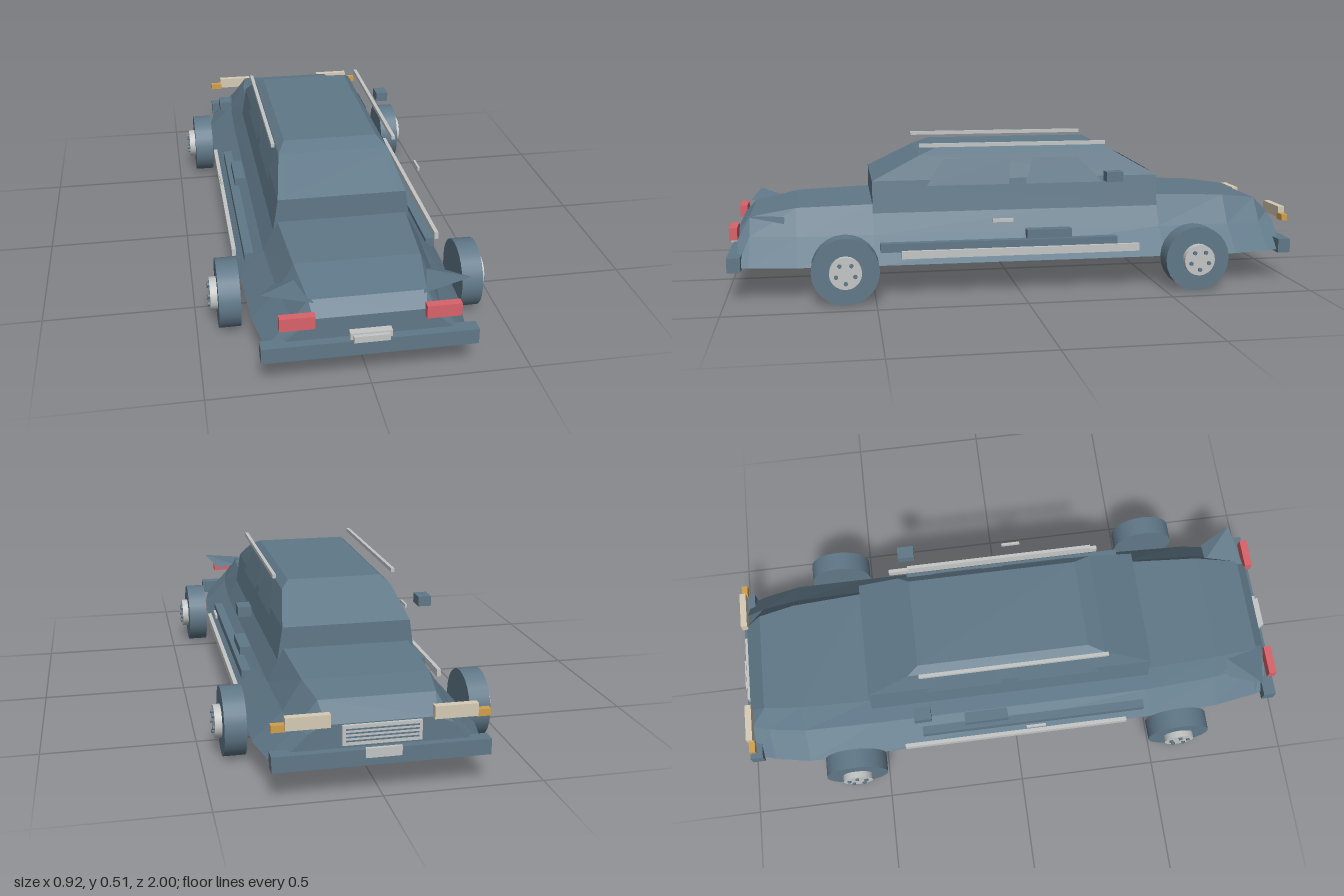
import * as THREE from 'three';

const material = (name, color) => {
  const m = new THREE.MeshStandardMaterial({ color });
  m.name = name;
  return m;
};

// Closed flat-shaded skin through rings of points, capped at both ends
function loft(rings) {
  const pos = [];
  const tri = (...pts) => pts.forEach((p) => pos.push(...p));
  const n = rings[0].length;
  for (let r = 0; r < rings.length - 1; r++) {
    const a = rings[r], b = rings[r + 1];
    for (let i = 0; i < n; i++) {
      const j = (i + 1) % n;
      tri(a[i], b[i], b[j]);
      tri(a[i], b[j], a[j]);
    }
  }
  const first = rings[0], last = rings[rings.length - 1];
  for (let i = 1; i < n - 1; i++) {
    tri(first[0], first[i], first[i + 1]);
    tri(last[0], last[i + 1], last[i]);
  }
  const g = new THREE.BufferGeometry();
  g.setAttribute('position', new THREE.Float32BufferAttribute(pos, 3));
  g.computeVertexNormals();
  return g;
}

export function createModel() {
  const car = new THREE.Group();
  car.name = 'car';
  const paint = material('slate paint', 0x607888);
  const panel = material('slate panel', 0x607888);
  panel.side = THREE.DoubleSide;
  const silver = material('silver trim', 0xc4c6c6);
  const red = material('red lamp', 0xd9626a);
  const amber = material('amber lamp', 0xd0a04c);
  const lens = material('pale lens', 0xd6cbb4);

  const add = (name, geometry, mat, parent = car) => {
    const m = new THREE.Mesh(geometry, mat);
    m.name = name;
    parent.add(m);
    return m;
  };
  // Box given by its limits on each axis
  const box = (name, mat, [x0, x1], [y0, y1], [z0, z1]) => {
    const m = add(name, new THREE.BoxGeometry(Math.abs(x1 - x0), y1 - y0, z1 - z0), mat);
    m.position.set((x0 + x1) / 2, (y0 + y1) / 2, (z0 + z1) / 2);
    return m;
  };
  const pair = (name, mat, [x0, x1], ys, zs) => {
    box(name + 'Left', mat, [x0, x1], ys, zs);
    box(name + 'Right', mat, [-x0, -x1], ys, zs);
  };
  const quad = (name, [a, b, c, d]) => {
    const g = new THREE.BufferGeometry();
    g.setAttribute('position', new THREE.Float32BufferAttribute([...a, ...b, ...c, ...a, ...c, ...d], 3));
    g.computeVertexNormals();
    return add(name, g, panel);
  };

  // Lower body: z, bottom half width, waist half width, waist y, top half width, top y
  const sections = [
    [0.96, 0.30, 0.21, 0.19, 0.17, 0.22],
    [0.92, 0.31, 0.225, 0.20, 0.18, 0.262],
    [0.76, 0.335, 0.25, 0.20, 0.20, 0.292],
    [0.50, 0.345, 0.265, 0.20, 0.215, 0.30],
    [-0.52, 0.355, 0.265, 0.20, 0.21, 0.308],
    [-0.78, 0.355, 0.26, 0.20, 0.20, 0.297],
    [-0.91, 0.33, 0.24, 0.20, 0.18, 0.28],
    [-0.97, 0.31, 0.22, 0.20, 0.165, 0.225],
  ];
  add('body', loft(sections.map(([z, b, w, wy, t, ty]) => [
    [-b, 0.11, z], [b, 0.11, z], [w, wy, z], [t, ty, z], [-t, ty, z], [-w, wy, z],
  ])), paint);

  // Cabin: y, half width, rear z, nose z
  const levels = [
    [0.27, 0.23, 0.50, -0.52],
    [0.38, 0.213, 0.50, -0.52],
    [0.465, 0.187, 0.33, -0.37],
    [0.488, 0.16, 0.27, -0.33],
  ];
  add('cabin', loft(levels.map(([y, w, f, b]) => [
    [w, y, f], [-w, y, f], [-w, y, b], [w, y, b],
  ])), paint);

  // Side windows lie on the sloping cabin sides
  const sideX = (y) => (y < 0.38 ? 0.213 + (0.38 - y) * 0.155 : 0.213 - (y - 0.38) * 0.306) + 0.005;
  const windows = [
    [[0.31, 0.36], [0.02, 0.36], [0.01, 0.45], [0.25, 0.45]],
    [[-0.04, 0.36], [-0.32, 0.36], [-0.23, 0.45], [-0.07, 0.45]],
  ];
  for (const s of [1, -1]) {
    windows.forEach((w) => quad('sideWindow', w.map(([z, y]) => [s * sideX(y), y, z])));
    // Flared trunk corner
    quad('trunkFlare', [
      [s * 0.2, 0.262, 0.8], [s * 0.27, 0.25, 0.8], [s * 0.32, 0.285, 0.91], [s * 0.165, 0.262, 0.94],
    ]);
  }
  // Rear window and windscreen
  quad('rearWindow', [[-0.185, 0.387, 0.493], [0.185, 0.387, 0.493], [0.165, 0.455, 0.357], [-0.165, 0.455, 0.357]]);
  quad('windscreen', [[0.185, 0.39, -0.508], [-0.185, 0.39, -0.508], [-0.165, 0.455, -0.393], [0.165, 0.455, -0.393]]);

  // Bumpers and number plates
  box('rearBumper', paint, [-0.33, 0.33], [0.1, 0.15], [0.945, 0.99]);
  box('noseBumper', paint, [-0.33, 0.33], [0.1, 0.15], [-0.995, -0.95]);
  box('rearPlate', silver, [-0.055, 0.055], [0.147, 0.168], [0.985, 0.997]);
  box('rearPlateFrame', silver, [-0.064, 0.064], [0.152, 0.173], [0.955, 0.985]);
  box('nosePlate', silver, [-0.055, 0.055], [0.125, 0.155], [-1, -0.99]);

  // Grille with slats
  box('grille', silver, [-0.12, 0.12], [0.16, 0.222], [-0.98, -0.965]);
  for (let i = 0; i < 4; i++) {
    const y = 0.172 + i * 0.012;
    box('grilleSlat', paint, [-0.11, 0.11], [y, y + 0.004], [-0.983, -0.978]);
  }

  // Lamps
  pair('tailLamp', red, [0.167, 0.274], [0.2, 0.242], [0.955, 0.982]);
  pair('headlight', lens, [0.155, 0.288], [0.222, 0.262], [-0.985, -0.962]);
  pair('indicator', amber, [0.285, 0.328], [0.218, 0.24], [-0.98, -0.958]);

  // Roof rails, mirrors, handles and side trim
  pair('roofRail', silver, [0.2, 0.212], [0.494, 0.507], [-0.33, 0.335]);
  pair('mirror', paint, [0.29, 0.335], [0.376, 0.41], [-0.365, -0.305]);
  pair('doorHandle', silver, [0.362, 0.37], [0.253, 0.265], [0.03, 0.1]);
  pair('sillStrip', silver, [0.348, 0.362], [0.134, 0.16], [-0.42, 0.41]);
  pair('sillMoulding', paint, [0.295, 0.326], [0.15, 0.18], [-0.35, 0.48]);
  pair('doorStep', paint, [0.27, 0.31], [0.165, 0.21], [-0.19, -0.03]);

  // Wheels with hubs and bolts
  for (const s of [1, -1]) {
    for (const z of [0.6, -0.61]) {
      const wheel = new THREE.Group();
      wheel.name = 'wheel';
      wheel.position.set(s * 0.395, 0.113, z);
      wheel.rotation.z = -s * Math.PI / 2;
      add('tyre', new THREE.CylinderGeometry(0.113, 0.113, 0.07, 24), paint, wheel);
      add('hub', new THREE.CylinderGeometry(0.054, 0.054, 0.024, 20), silver, wheel).position.y = 0.046;
      for (let i = 0; i < 5; i++) {
        const a = (i / 5) * Math.PI * 2;
        add('bolt', new THREE.CylinderGeometry(0.007, 0.007, 0.008, 8), paint, wheel)
          .position.set(Math.cos(a) * 0.033, 0.061, Math.sin(a) * 0.033);
      }
      car.add(wheel);
    }
  }
  return car;
}
